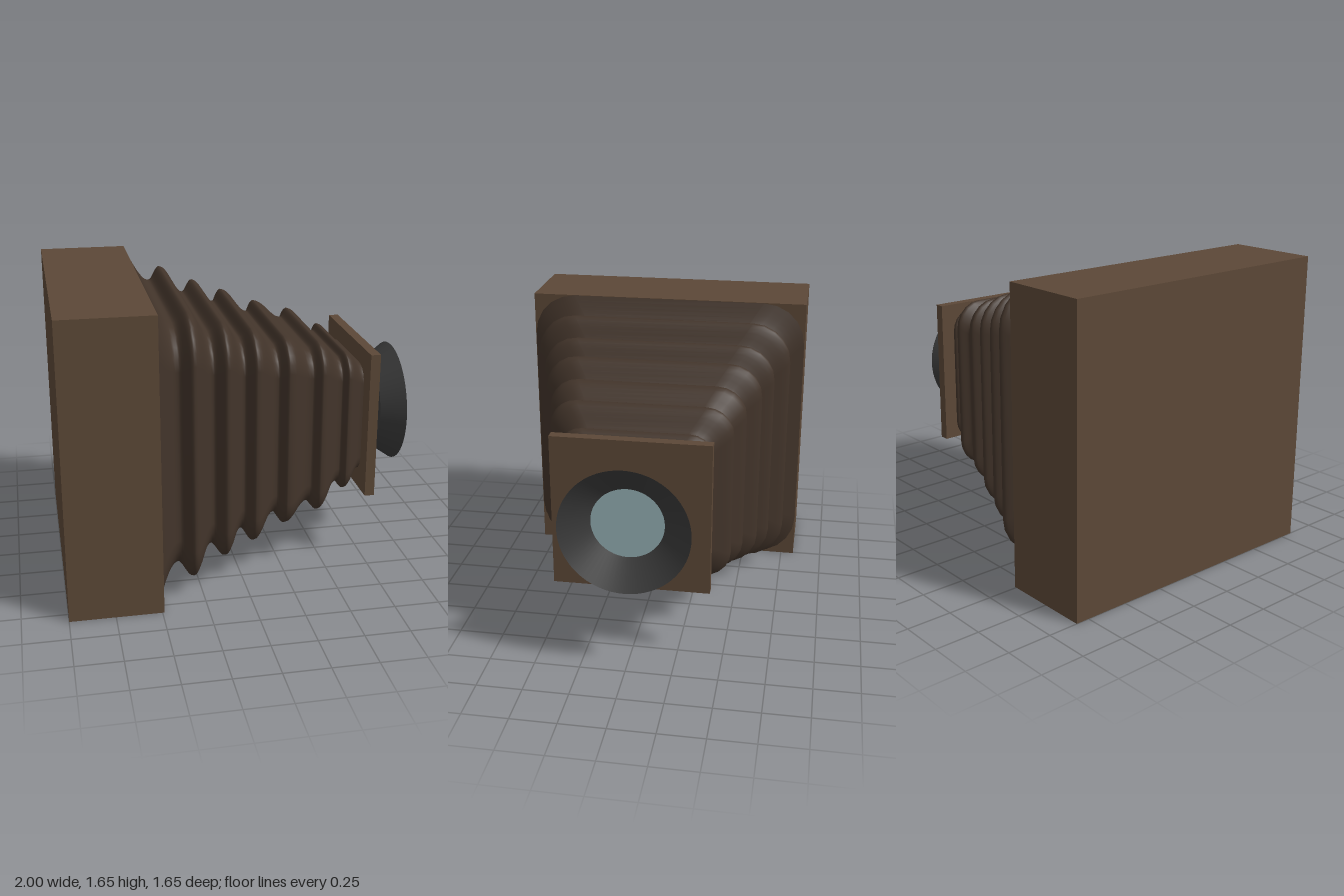
import * as THREE from 'three';
import { toCreasedNormals } from 'three/addons/utils/BufferGeometryUtils.js';

const CY = 0.828; // height of the optical axis

const wood = new THREE.MeshStandardMaterial({ color: 0x5c4837 });
const leather = new THREE.MeshStandardMaterial({ color: 0x42342a, side: THREE.DoubleSide });
const metal = new THREE.MeshStandardMaterial({ color: 0x3a3a3a });
const glass = new THREE.MeshStandardMaterial({ color: 0x94b0b4, side: THREE.DoubleSide });

function part(name, geometry, material, x, y = CY) {
  const mesh = new THREE.Mesh(geometry, material);
  mesh.name = name;
  mesh.position.set(x, y, 0);
  return mesh;
}

// Crests and valleys of the bellows: [x, half width]
const FOLDS = [
  [-0.49, 0.825], [-0.375, 0.685], [-0.3, 0.755], [-0.18, 0.615], [-0.11, 0.677],
  [0, 0.558], [0.06, 0.62], [0.2, 0.497], [0.253, 0.552], [0.405, 0.458],
  [0.455, 0.503], [0.595, 0.378], [0.63, 0.413], [0.74, 0.323],
];

// Rounded square of half width 1, as [z, y] points running counter-clockwise
function roundedSquare(radius, steps) {
  const points = [];
  for (let corner = 0; corner < 4; corner++) {
    const mid = Math.PI / 4 + corner * Math.PI / 2;
    const cz = Math.sign(Math.cos(mid)) * (1 - radius);
    const cy = Math.sign(Math.sin(mid)) * (1 - radius);
    for (let s = 0; s <= steps; s++) {
      const a = (corner + s / steps) * Math.PI / 2;
      points.push([cz + radius * Math.cos(a), cy + radius * Math.sin(a)]);
    }
  }
  return points;
}

function bellowsGeometry() {
  // Ease between the folds so that crests and valleys are rounded
  const rings = [FOLDS[0]];
  const steps = 8;
  for (let i = 1; i < FOLDS.length; i++) {
    const [x0, h0] = FOLDS[i - 1], [x1, h1] = FOLDS[i];
    for (let s = 1; s <= steps; s++) {
      const t = s / steps;
      const ease = i === 1 ? Math.sin(t * Math.PI / 2) : (1 - Math.cos(t * Math.PI)) / 2;
      rings.push([x0 + (x1 - x0) * t, h0 + (h1 - h0) * ease]);
    }
  }
  const section = roundedSquare(0.3, 5);
  const n = section.length;
  const positions = [], index = [];
  rings.forEach(([x, h], i) => {
    section.forEach(([z, y], j) => {
      positions.push(x, y * h, z * h);
      if (i === rings.length - 1) return;
      const a = i * n + j, b = i * n + (j + 1) % n;
      index.push(a, a + n, b, b, a + n, b + n);
    });
  });
  const geometry = new THREE.BufferGeometry();
  geometry.setAttribute('position', new THREE.Float32BufferAttribute(positions, 3));
  geometry.setIndex(index);
  geometry.computeVertexNormals();
  return geometry;
}

// Flared ring with a funnel-shaped inside, turned to point along +x
function lensRingGeometry() {
  const profile = [[0, 0], [0.26, 0], [0.35, 0.13], [0.195, 0.012]]
    .map(([r, h]) => new THREE.Vector2(r, h));
  const geometry = new THREE.LatheGeometry(profile, 64);
  geometry.rotateZ(-Math.PI / 2);
  return toCreasedNormals(geometry, 0.5);
}

export function createModel() {
  const group = new THREE.Group();
  group.name = 'bellowsCamera';

  group.add(part('cameraBody', new THREE.BoxGeometry(0.51, 1.655, 1.655), wood, -0.745));
  group.add(part('bellows', bellowsGeometry(), leather, 0));
  group.add(part('lensBoard', new THREE.BoxGeometry(0.056, 0.852, 0.852), wood, 0.77));
  group.add(part('lensRing', lensRingGeometry(), metal, 0.87));
  const disc = new THREE.CircleGeometry(0.196, 48).rotateY(Math.PI / 2);
  group.add(part('lensGlass', disc, glass, 0.883));

  return group;
}
